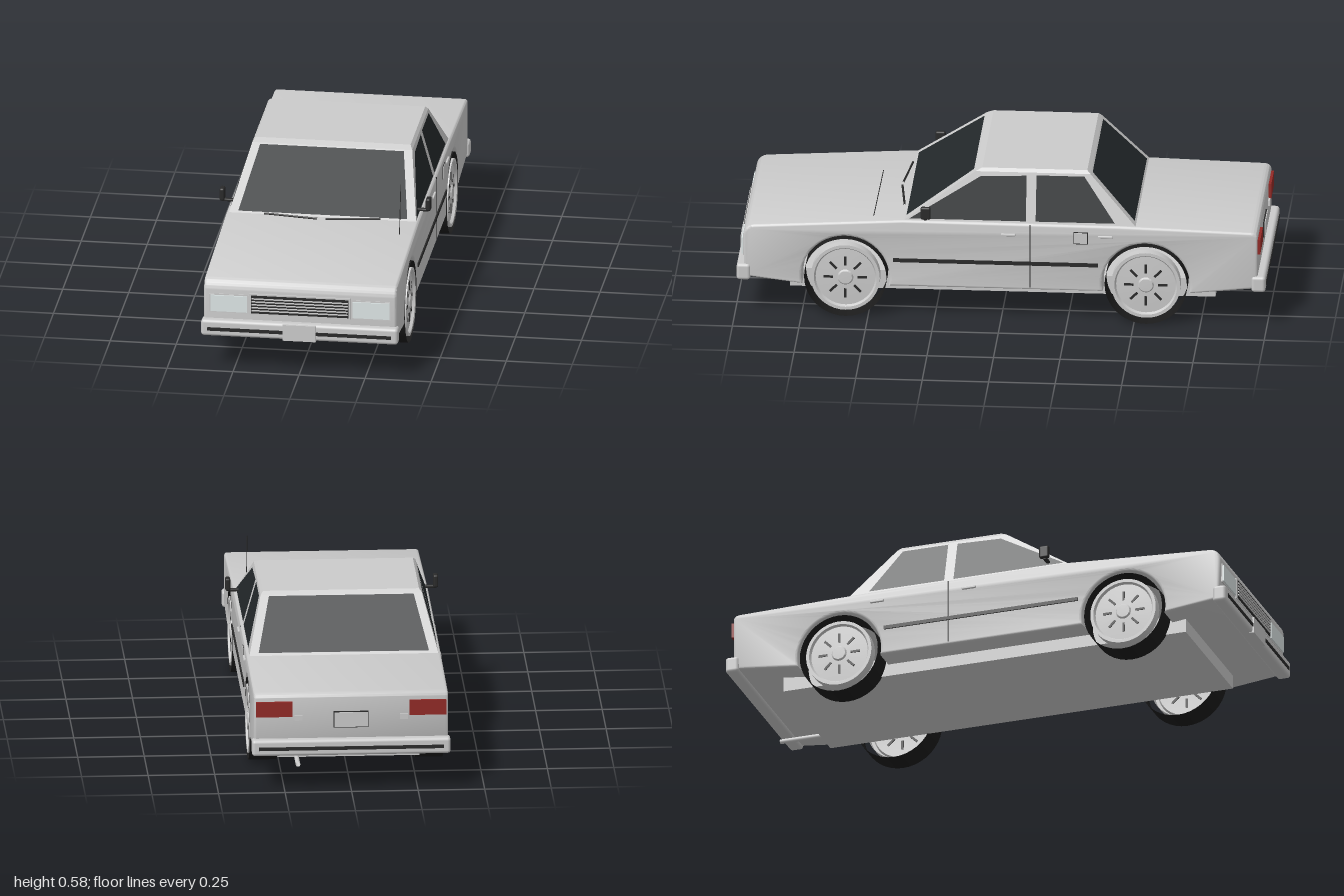
import * as THREE from 'three';
import { toCreasedNormals } from 'three/addons/utils/BufferGeometryUtils.js';
import { RoundedBoxGeometry } from 'three/addons/geometries/RoundedBoxGeometry.js';

const mat = (color, side = THREE.FrontSide) => new THREE.MeshStandardMaterial({ color, side });
const GREY = mat(0xcccccc), GREY2 = mat(0xcccccc, THREE.DoubleSide);
const BLACK = mat(0x2a2a2a), RUBBER = mat(0x1c1c1c, THREE.DoubleSide);
const GLASS = mat(0x23282a, THREE.DoubleSide), LAMP = mat(0xdde6e6), RED = mat(0x922a26);

export function createModel() {
  const car = new THREE.Group();
  car.name = 'sedan';

  const add = (name, geometry, material = GREY, parent = car) => {
    const mesh = new THREE.Mesh(geometry, material);
    mesh.name = name;
    parent.add(mesh);
    return mesh;
  };
  // Box given by its extents
  const box = (name, [x0, x1], [y0, y1], [z0, z1], material = GREY, round = 0) => {
    const size = [x1 - x0, y1 - y0, z1 - z0];
    const geo = round ? new RoundedBoxGeometry(...size, 3, round) : new THREE.BoxGeometry(...size);
    const mesh = add(name, geo, material);
    mesh.position.set((x0 + x1) / 2, (y0 + y1) / 2, (z0 + z1) / 2);
    return mesh;
  };
  // Thin rod between two points
  const rod = (name, a, b, r, material = GREY) => {
    const path = new THREE.LineCurve3(new THREE.Vector3(...a), new THREE.Vector3(...b));
    return add(name, new THREE.TubeGeometry(path, 1, r, 8), material);
  };
  // Flat pane from four corners
  const pane = (name, corners) => {
    const geo = new THREE.BufferGeometry();
    geo.setAttribute('position', new THREE.Float32BufferAttribute(corners.flat(), 3));
    geo.setIndex([0, 1, 2, 0, 2, 3]);
    geo.computeVertexNormals();
    return add(name, geo, GLASS);
  };

  // Lower body: side profile with wheel arches, extruded across the width
  const wheelZ = [0.585, -0.545], axleY = 0.155, archR = 0.165, dip = 0.183;
  const side = new THREE.Shape();
  side.moveTo(-0.945, 0.15);
  side.lineTo(-0.965, 0.2);
  side.lineTo(-0.965, 0.355);
  side.quadraticCurveTo(-0.965, 0.374, -0.94, 0.376);
  side.lineTo(-0.45, 0.388);
  side.lineTo(0.37, 0.39);
  side.lineTo(0.93, 0.357);
  side.quadraticCurveTo(0.965, 0.352, 0.97, 0.315);
  side.lineTo(0.965, 0.15);
  for (const z of wheelZ) side.absarc(z, axleY, archR, -dip, Math.PI + dip, false);
  side.closePath();
  const bevel = 0.01;
  const bodyGeo = new THREE.ExtrudeGeometry(side, {
    depth: 0.73 - 2 * bevel, curveSegments: 24,
    bevelEnabled: true, bevelSize: bevel, bevelThickness: bevel, bevelOffset: -bevel, bevelSegments: 3,
  });
  bodyGeo.translate(0, 0, -0.365 + bevel).rotateY(-Math.PI / 2);
  add('body', toCreasedNormals(bodyGeo, 0.6));
  box('chassis', [-0.267, 0.267], [0.078, 0.15], [-0.8, 0.8]).scale.z = 1;

  // Cabin: a box whose rows taper toward the roof
  const rows = { 1: [0.585, 0.293, 0.075, -0.32], 0: [0.573, 0.303, 0.1, -0.333], '-1': [0.38, 0.357, 0.378, -0.512] };
  const cabin = new THREE.BoxGeometry(2, 2, 2, 1, 2, 1).toNonIndexed();
  const p = cabin.attributes.position;
  for (let i = 0; i < p.count; i++) {
    const [y, x, front, rear] = rows[Math.round(p.getY(i))];
    p.setXYZ(i, Math.sign(p.getX(i)) * x, y, p.getZ(i) > 0 ? front : rear);
  }
  cabin.computeVertexNormals();
  add('cabin', cabin);

  // Glass lies just outside the cabin walls
  const along = (y, a, b) => a + (b - a) * (y - 0.38) / 0.193;
  const wallX = y => along(y, 0.357, 0.303) + 0.002;
  const frontZ = y => along(y, 0.378, 0.1) + 0.003;
  const rearZ = y => along(y, -0.512, -0.333) - 0.003;
  const lo = 0.396, hi = 0.57;
  pane('windshield', [[-0.32, lo, frontZ(lo)], [0.32, lo, frontZ(lo)], [0.272, hi, frontZ(hi)], [-0.272, hi, frontZ(hi)]]);
  pane('rearWindow', [[0.32, lo, rearZ(lo)], [-0.32, lo, rearZ(lo)], [-0.272, hi, rearZ(hi)], [0.272, hi, rearZ(hi)]]);

  for (const s of [1, -1]) {
    const span = (a, b) => (s > 0 ? [a, b] : [-b, -a]);
    const sidePane = (name, pts) => {
      const c = pts.map(([z, y]) => [s * wallX(y), y, z]);
      pane(name, s > 0 ? c : c.reverse());
    };
    sidePane('frontSideWindow', [[0.345, lo], [-0.093, lo], [-0.093, 0.562], [0.08, 0.556]]);
    sidePane('rearSideWindow', [[-0.13, lo], [-0.428, lo], [-0.31, 0.564], [-0.13, 0.564]]);

    // Door seams, rub strip and handles
    box('doorSeam', span(0.36, 0.366), [0.135, 0.385], [-0.112, -0.107], BLACK);
    box('sideStrip', span(0.36, 0.37), [0.224, 0.238], [-0.365, 0.405], BLACK);
    for (const z of [-0.055, -0.42]) box('doorHandle', span(0.36, 0.372), [0.34, 0.35], [z, z + 0.055], GREY, 0.003);

    // Mirror
    box('mirrorStem', span(0.345, 0.392), [0.403, 0.414], [0.275, 0.29], BLACK, 0.004);
    box('mirror', span(0.381, 0.4), [0.408, 0.457], [0.262, 0.3], BLACK, 0.007);

    // Lamps
    box('headlightFrame', span(0.193, 0.344), [0.226, 0.3], [0.95, 0.972]);
    box('headlight', span(0.2, 0.339), [0.231, 0.295], [0.95, 0.977], LAMP);
    box('tailLight', span(0.22, 0.357), [0.288, 0.346], [-0.975, -0.95], RED);
    box('reverseLight', span(0.183, 0.213), [0.272, 0.293], [-0.972, -0.95]);

    // Wiper
    rod('wiper', [s * 0.015, 0.394, 0.395], [s * 0.22, 0.396, 0.372], 0.004, BLACK);

    // Wheels: open tread band, dished rim and radial slots
    for (const z of wheelZ) {
      const wheel = new THREE.Group();
      wheel.name = 'wheel';
      wheel.position.set(0, axleY, z);
      wheel.rotation.z = -s * Math.PI / 2;
      car.add(wheel);
      const tread = new THREE.CylinderGeometry(0.155, 0.155, 0.105, 40, 1, true);
      add('tyre', tread, RUBBER, wheel).position.y = 0.3125;
      const profile = [[0.13, 0.325], [0.13, 0.366], [0.118, 0.366], [0.112, 0.356], [0.03, 0.36], [0.025, 0.366], [0, 0.366]];
      const rim = new THREE.LatheGeometry(profile.map(q => new THREE.Vector2(...q)), 40);
      add('rim', toCreasedNormals(rim.toNonIndexed(), 0.5), GREY2, wheel);
      for (let i = 0; i < 8; i++) {
        const slot = new THREE.BoxGeometry(0.036, 0.006, 0.009).translate(0.064, 0.358, 0).rotateY(i * Math.PI / 4);
        add('rimSlot', slot, BLACK, wheel);
      }
    }
  }

  // Grille
  box('grilleFrame', [-0.192, 0.192], [0.223, 0.307], [0.95, 0.975]);
  box('grille', [-0.184, 0.184], [0.23, 0.301], [0.95, 0.978], BLACK);
  for (let i = 0; i < 5; i++) {
    const y = 0.242 + i * 0.0118;
    box('grilleBar', [-0.182, 0.182], [y - 0.0022, y + 0.0022], [0.96, 0.982]);
  }

  // Bumpers with dark strips, and number plates
  box('frontBumper', [-0.373, 0.373], [0.136, 0.2], [0.942, 0.994], GREY, 0.012);
  box('frontBumperStrip', [-0.348, 0.348], [0.159, 0.172], [0.98, 0.997], BLACK);
  box('frontPlate', [-0.063, 0.063], [0.135, 0.198], [0.98, 1]);
  box('rearBumper', [-0.373, 0.373], [0.14, 0.202], [-0.995, -0.942], GREY, 0.012);
  box('rearBumperStrip', [-0.348, 0.348], [0.163, 0.176], [-0.998, -0.98], BLACK);
  box('rearPlateFrame', [-0.066, 0.066], [0.242, 0.305], [-0.97, -0.95], BLACK);
  box('rearPlate', [-0.063, 0.063], [0.245, 0.302], [-0.973, -0.95]);

  // Fuel flap, aerial and exhaust
  box('fuelFlapSeam', [0.36, 0.3665], [0.314, 0.362], [-0.327, -0.273], BLACK);
  box('fuelFlap', [0.36, 0.368], [0.317, 0.359], [-0.324, -0.276]);
  rod('aerial', [0.308, 0.38, 0.483], [0.308, 0.57, 0.445], 0.0015, BLACK);
  const exhaust = new THREE.CylinderGeometry(0.009, 0.009, 0.2, 16, 1, true).rotateX(Math.PI / 2);
  add('exhaust', exhaust, GREY2).position.set(0.2, 0.102, -0.875);

  return car;
}
